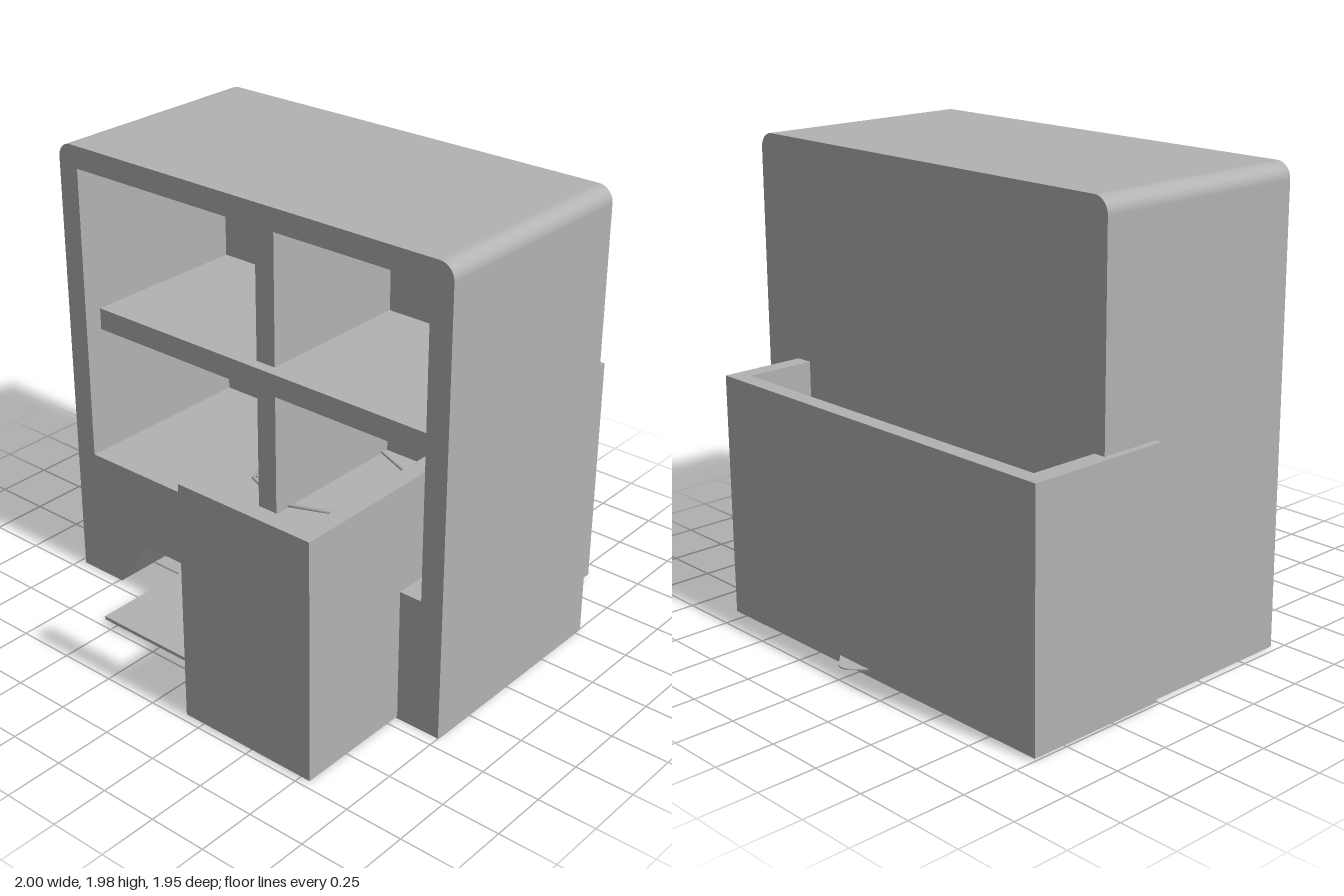
import * as THREE from 'three';

export function createModel() {
  const model = new THREE.Group();
  const grey = new THREE.MeshStandardMaterial({ color: 0xb2b2b2, side: THREE.DoubleSide });
  grey.name = 'plainGrey';

  const add = (name, geometry, parent = model) => {
    const mesh = new THREE.Mesh(geometry, grey);
    mesh.name = name;
    parent.add(mesh);
    return mesh;
  };
  // box given by its limits on each axis
  const block = (name, [x0, x1], [y0, y1], [z0, z1], parent) =>
    add(name, new THREE.BoxGeometry(x1 - x0, y1 - y0, z1 - z0), parent)
      .position.set((x0 + x1) / 2, (y0 + y1) / 2, (z0 + z1) / 2);

  // cabinet outline: rounded top corners, trapezoid cut-out between the feet
  const outline = () => {
    const s = new THREE.Shape();
    const l = -0.97, r = 1, t = 1.975, c = 0.065;
    s.moveTo(l, 0).lineTo(-0.74, 0).lineTo(-0.57, 0.24).lineTo(0.6, 0.24).lineTo(0.77, 0).lineTo(r, 0);
    s.lineTo(r, t - c).absarc(r - c, t - c, c, 0, Math.PI / 2);
    s.lineTo(l + c, t).absarc(l + c, t - c, c, Math.PI / 2, Math.PI);
    s.closePath();
    return s;
  };
  const slab = (shape, z0, z1) =>
    new THREE.ExtrudeGeometry(shape, { depth: z1 - z0, bevelEnabled: false, curveSegments: 5 }).translate(0, 0, z0);

  const cabinet = new THREE.Group();
  cabinet.name = 'cabinet';
  model.add(cabinet);
  const frame = outline();
  const opening = new THREE.Path();
  opening.moveTo(-0.87, 0.585).lineTo(-0.87, 1.88).lineTo(0.9, 1.88).lineTo(0.9, 0.585).closePath();
  frame.holes.push(opening);
  add('cabinetFrame', slab(frame, -0.4, 0.45), cabinet);
  add('cabinetBack', slab(outline(), -0.54, -0.4), cabinet);
  block('shelf', [-0.87, 0.9], [1.15, 1.245], [-0.4, 0.37], cabinet);
  block('divider', [-0.035, 0.06], [0.585, 1.88], [-0.4, 0.32], cabinet);

  // low wall wrapping around the cabinet
  const wall = new THREE.Group();
  wall.name = 'surroundingWall';
  model.add(wall);
  const wallY = [0.01, 1.045];
  block('backWall', [-1, 0.8], wallY, [-0.91, -0.84], wall);
  block('leftWall', [0.725, 0.8], wallY, [-0.84, 0.9], wall);
  block('frontWall', [0.165, 0.8], wallY, [0.9, 0.975], wall);
  block('rightWall', [-1, -0.92], wallY, [-0.84, -0.27], wall);
  block('backLedge', [-0.92, 0.725], [0.54, 0.57], [-0.84, -0.54], wall);
  block('frontLedge', [0.205, 0.725], [0.54, 0.57], [0.45, 0.9], wall);

  // flat envelope lying under the cabinet, with a rounded flap at the back
  block('envelopeSheet', [-0.54, 0.57], [0.03, 0.045], [-0.49, 0.74]);
  const flap = new THREE.Shape();
  flap.moveTo(-0.54, 0.49).lineTo(0.57, 0.49).lineTo(0.07, 0.94);
  flap.quadraticCurveTo(0.015, 1.01, -0.04, 0.94).closePath();
  add('envelopeFlap', new THREE.ExtrudeGeometry(flap, { depth: 0.006, bevelEnabled: false })
    .rotateX(-Math.PI / 2).translate(0, 0.035, 0));

  // lattice basket: octagonal base, rim and crossing rods
  const basket = new THREE.Group();
  basket.name = 'latticeBasket';
  basket.position.set(0.02, 0, -0.06);
  model.add(basket);
  add('basketBase', new THREE.CylinderGeometry(0.3, 0.3, 0.012, 8), basket).position.y = 0.026;
  add('basketRim', new THREE.TorusGeometry(0.32, 0.008, 6, 8).rotateX(Math.PI / 2), basket).position.y = 0.592;
  const onRing = (r, y, a) => new THREE.Vector3(r * Math.cos(a), y, r * Math.sin(a));
  for (let i = 0; i < 8; i++) {
    for (const side of [-1, 1]) {
      const a = (i * Math.PI) / 4;
      const rod = new THREE.LineCurve3(onRing(0.27, 0.022, a), onRing(0.31, 0.592, a + (side * Math.PI) / 4));
      add('basketRod', new THREE.TubeGeometry(rod, 1, 0.01, 6), basket);
    }
  }
  return model;
}
